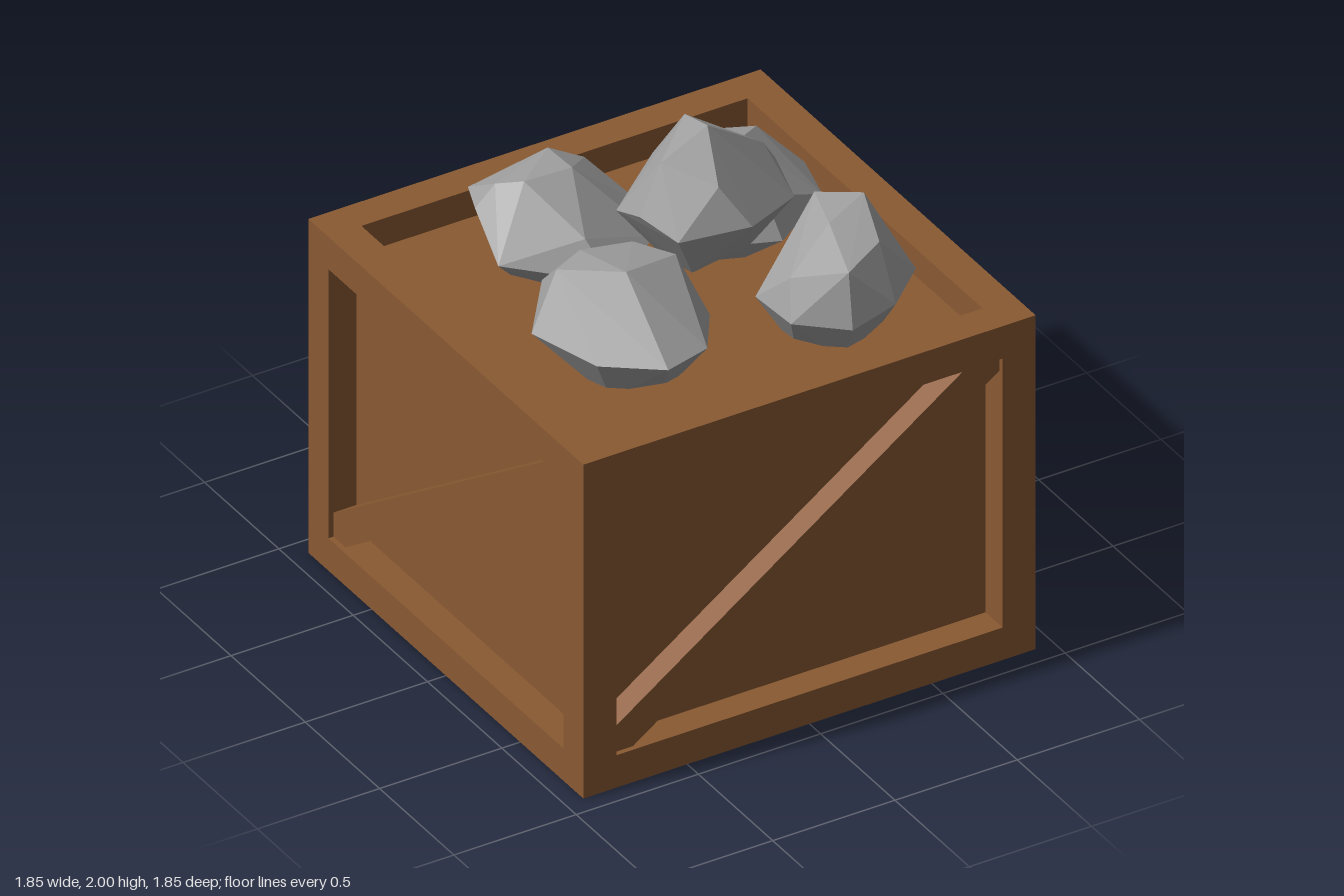
import * as THREE from 'three';
import { ConvexGeometry } from 'three/addons/geometries/ConvexGeometry.js';

const HALF = 0.925, HEIGHT = 1.39, BORDER = 0.135, RECESS = 0.115;
const wood = new THREE.MeshStandardMaterial({ color: 0x8b5a33, flatShading: true, side: THREE.DoubleSide });
const stone = new THREE.MeshStandardMaterial({ color: 0xa0a0a0, flatShading: true });

function mesh(name, geometry, material) {
  const m = new THREE.Mesh(geometry, material);
  m.name = name;
  return m;
}

const polygon = (points) => new THREE.Shape(points.map(([x, y]) => new THREE.Vector2(x, y)));
const rectangle = (x, y) => polygon([[-x, -y], [x, -y], [x, y], [-x, y]]);

// One crate face lying in the local z = 0 plane: flat border, sunken tray, optional brace
function crateFace(name, height, braced) {
  const face = new THREE.Group();
  face.name = name;
  const w = HALF - BORDER, h = height / 2 - BORDER;

  const border = rectangle(HALF, height / 2);
  border.holes.push(rectangle(w, h));
  face.add(mesh('border', new THREE.ShapeGeometry(border), wood));

  // Box without its outer lid
  const tray = new THREE.BoxGeometry(2 * w, 2 * h, RECESS);
  tray.setIndex([...tray.index.array].filter((_, i) => i < 24 || i >= 30));
  tray.clearGroups();
  tray.translate(0, 0, -RECESS / 2);
  face.add(mesh('recessedPanel', tray, wood));

  if (braced) {
    const brace = polygon([[-w, -h], [-w + 0.08, -h], [w, h - 0.06], [w, h], [w - 0.13, h], [-w, -h + 0.1]]);
    const geo = new THREE.ExtrudeGeometry(brace, { depth: RECESS - 0.01, bevelEnabled: false });
    geo.translate(0, 0, -RECESS - 0.01);
    face.add(mesh('diagonalBrace', geo, wood));
  }
  return face;
}

// Faceted rock: hull of a crown, a widest rim and a smaller base derived from the rim
function rock(name, rim, crown) {
  const rimPoints = rim.map((p) => new THREE.Vector3(...p));
  const centre = rimPoints.reduce((sum, p) => sum.add(p), new THREE.Vector3()).divideScalar(rim.length);
  const base = rimPoints.filter((_, i) => i % 2 === 0).map((p) => {
    const q = p.clone().lerp(centre, 0.5);
    q.y = centre.y - 0.25;
    return q;
  });
  const points = [...rimPoints, ...base, ...crown.map((p) => new THREE.Vector3(...p))];
  return mesh(name, new ConvexGeometry(points), stone);
}

export function createModel() {
  const model = new THREE.Group();
  model.name = 'crateOfRocks';

  // Crate: four identical braced sides, a sunken top, open underneath
  const crate = new THREE.Group();
  crate.name = 'crate';
  ['frontSide', 'leftSide', 'backSide', 'rightSide'].forEach((name, i) => {
    const side = crateFace(name, HEIGHT, true);
    const angle = i * Math.PI / 2;
    side.rotation.y = angle;
    side.position.set(Math.sin(angle) * HALF, HEIGHT / 2, Math.cos(angle) * HALF);
    crate.add(side);
  });
  const top = crateFace('top', 2 * HALF, false);
  top.rotation.x = -Math.PI / 2;
  top.position.y = HEIGHT;
  crate.add(top);
  model.add(crate);

  // Rocks
  const rocks = new THREE.Group();
  rocks.name = 'rocks';
  rocks.add(
    rock('backRightRock',
      [[-0.47, 1.55, -0.6], [-0.29, 1.5, -0.66], [-0.13, 1.5, -0.65], [-0.03, 1.56, -0.54], [0.09, 1.43, -0.35],
        [0.05, 1.4, -0.19], [-0.22, 1.38, -0.03], [-0.54, 1.42, -0.28], [-0.52, 1.55, -0.47]],
      [[-0.38, 1.67, -0.37], [-0.19, 1.67, -0.36], [-0.45, 1.64, -0.45], [-0.18, 1.65, -0.54], [-0.27, 1.52, -0.14]]),
    rock('backLeftRock',
      [[0.09, 1.45, -0.33], [0.23, 1.52, -0.46], [0.38, 1.5, -0.56], [0.55, 1.5, -0.5], [0.68, 1.45, -0.44],
        [0.7, 1.45, -0.26], [0.67, 1.42, -0.09], [0.41, 1.4, 0.07], [0.18, 1.4, -0.02]],
      [[0.37, 1.63, -0.38], [0.4, 1.68, -0.2], [0.54, 1.62, -0.32], [0.38, 1.56, 0], [0.24, 1.6, -0.2]]),
    rock('frontRightRock',
      [[-0.52, 1.5, -0.02], [-0.27, 1.5, 0], [-0.21, 1.5, 0.06], [-0.07, 1.42, 0.37], [-0.19, 1.42, 0.55],
        [-0.38, 1.42, 0.6], [-0.58, 1.42, 0.45], [-0.69, 1.45, 0.19]],
      [[-0.57, 1.66, 0.16], [-0.45, 1.68, 0.12], [-0.37, 1.66, 0.3], [-0.24, 1.65, 0.13], [-0.13, 1.62, 0.24]]),
    rock('frontLeftRock',
      [[0.51, 1.46, 0.08], [0.72, 1.46, 0.24], [0.7, 1.42, 0.49], [0.52, 1.42, 0.65], [0.32, 1.4, 0.69],
        [0.14, 1.42, 0.57], [0.11, 1.44, 0.38], [0.33, 1.46, 0.2]],
      [[0.4, 1.66, 0.4], [0.59, 1.68, 0.32], [0.46, 1.66, 0.2], [0.52, 1.62, 0.54], [0.34, 1.6, 0.63], [0.18, 1.56, 0.5]]),
    rock('topRock',
      [[0.09, 1.68, -0.28], [0.26, 1.78, -0.22], [0.38, 1.72, -0.16], [0.41, 1.72, 0.02], [0.385, 1.66, 0.19],
        [0.11, 1.72, 0.36], [-0.15, 1.7, 0.29], [-0.21, 1.74, 0.13], [-0.21, 1.68, -0.03]],
      [[0.09, 2, 0.09], [-0.12, 1.93, 0.12], [0.1, 1.95, -0.08], [0.02, 1.87, 0.28], [0.36, 1.8, 0.02], [0.16, 1.43, 0.04]]),
  );
  model.add(rocks);
  return model;
}
